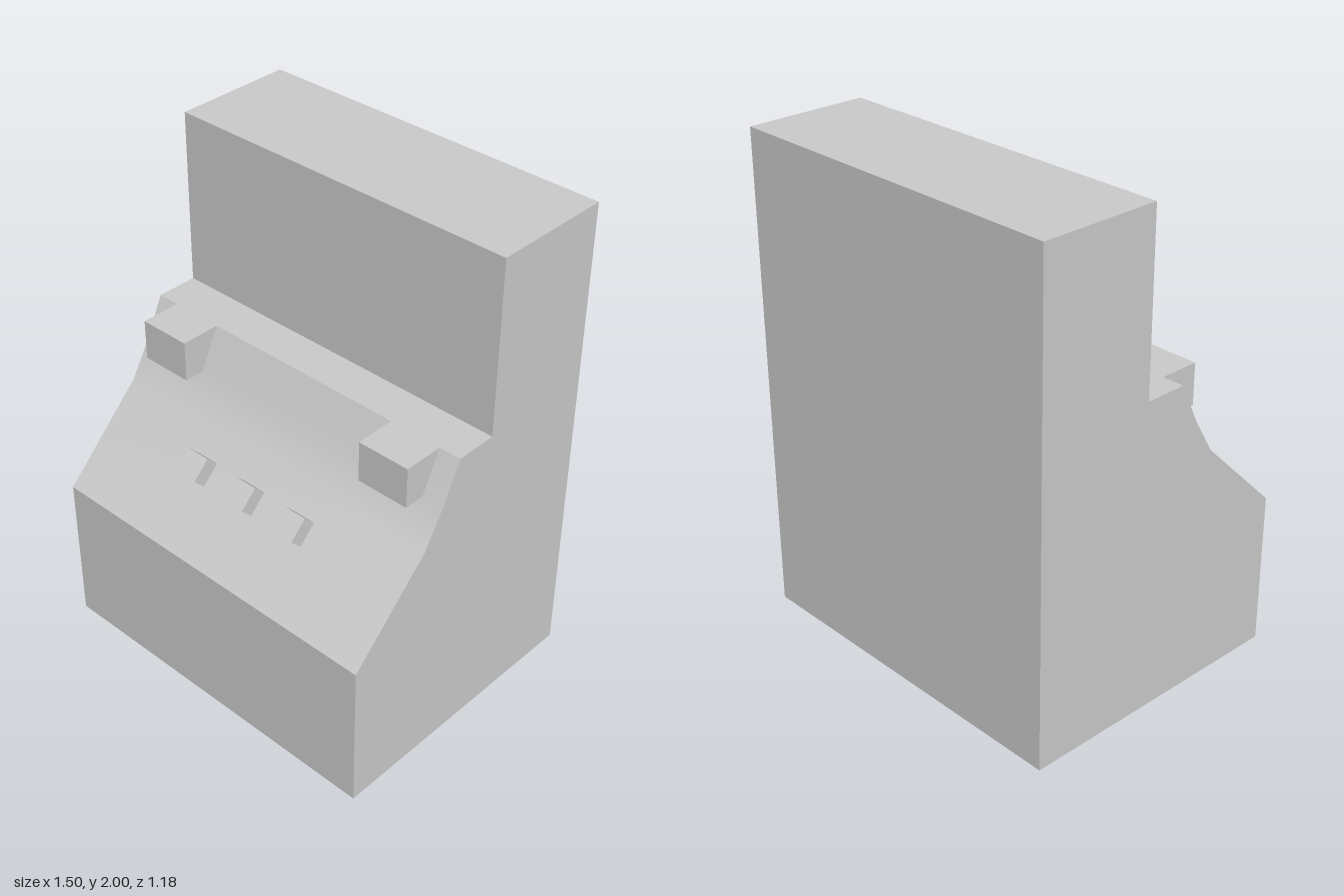
import * as THREE from 'three';

const WIDTH = 1.5;
// Side profile points as [z, y]
const BACK = [[-0.592, 0], [-0.592, 2]];
const TOP = [[-0.592, 2], [-0.092, 2]];
const SCREEN = [[-0.092, 2], [-0.092, 1.285]];
const LEDGE = [[-0.092, 1.285], [0.08, 1.285]];
const SLOPE = [[0.08, 1.285], [0.16, 1.118], [0.248, 0.97], [0.592, 0.632]];
const FRONT = [[0.592, 0.632], [0.592, 0]];

export function createModel() {
  const model = new THREE.Group();
  model.name = 'cabinet';
  const solid = new THREE.MeshStandardMaterial({ color: 0xcccccc });
  const shell = new THREE.MeshStandardMaterial({ color: 0xcccccc, side: THREE.DoubleSide });

  const add = (name, geometry, material) => {
    const mesh = new THREE.Mesh(geometry, material);
    mesh.name = name;
    model.add(mesh);
    return mesh;
  };

  // Full-width panel following a line of profile points, smooth along its bends
  const panel = (name, points) => {
    const geometry = new THREE.PlaneGeometry(WIDTH, 1, 1, points.length - 1);
    const pos = geometry.attributes.position;
    points.forEach(([z, y], row) => {
      for (let c = 0; c < 2; c++) {
        const i = row * 2 + c;
        pos.setXYZ(i, pos.getX(i), y, z);
      }
    });
    geometry.computeVertexNormals();
    add(name, geometry, shell);
  };

  panel('backPanel', BACK);
  panel('topPanel', TOP);
  panel('upperFrontPanel', SCREEN);
  panel('ledge', LEDGE);
  panel('controlSlope', SLOPE);
  panel('lowerFrontPanel', FRONT);

  // Side walls; the underside stays open
  const outline = [...BACK, ...TOP.slice(1), ...SCREEN.slice(1), ...LEDGE.slice(1), ...SLOPE.slice(1), ...FRONT.slice(1)];
  for (const side of [1, -1]) {
    const shape = new THREE.Shape(outline.map(([z, y]) => new THREE.Vector2(-side * z, y)));
    const wall = new THREE.ShapeGeometry(shape).rotateY(side * Math.PI / 2);
    add(side > 0 ? 'leftWall' : 'rightWall', wall.translate(side * WIDTH / 2, 0, 0), shell);
  }

  // Two brackets standing out from the top of the slope, flush with the ledge
  const bracketProfile = [[0.08, 1.285], [0.16, 1.118], [0.246, 1.118], [0.246, 1.285]];
  const bracketShape = new THREE.Shape(bracketProfile.map(([z, y]) => new THREE.Vector2(-z, y)));
  const bracketWidth = 0.22;
  for (const side of [1, -1]) {
    const geometry = new THREE.ExtrudeGeometry(bracketShape, { depth: bracketWidth, bevelEnabled: false });
    geometry.translate(0, 0, -bracketWidth / 2).rotateY(Math.PI / 2);
    add(side > 0 ? 'leftBracket' : 'rightBracket', geometry, solid).position.x = side * 0.548;
  }

  // Row of three buttons seated on the slope
  const tilt = Math.atan2(0.592 - 0.248, 0.97 - 0.632);
  for (const x of [-0.25, 0, 0.25]) {
    const geometry = new THREE.BoxGeometry(0.1, 0.098, 0.067).translate(0, 0, 0.0335);
    const button = add('button', geometry, solid);
    button.position.set(x, 0.859, 0.361);
    button.rotation.x = -tilt;
  }

  return model;
}
